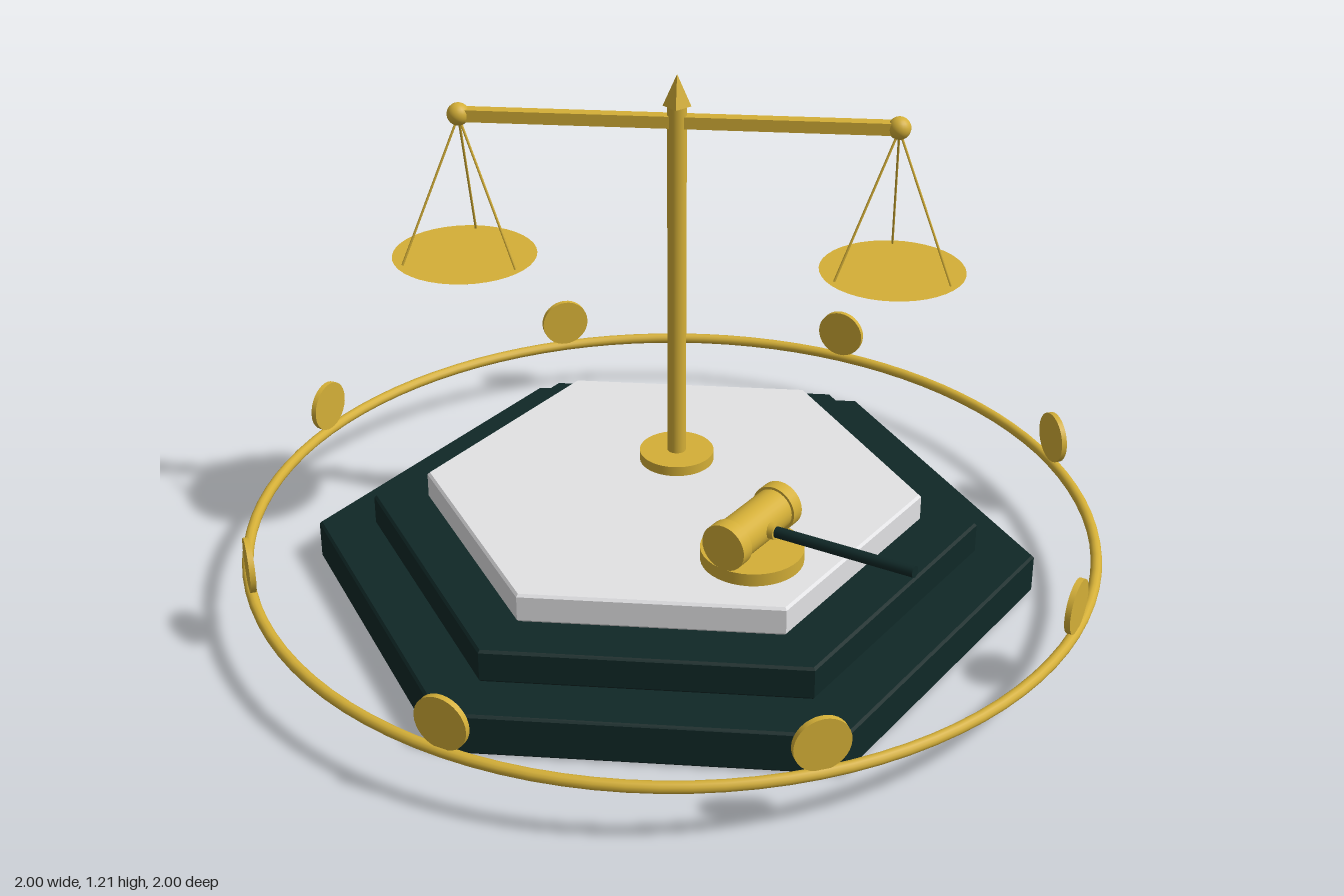
import * as THREE from 'three';

const gold = new THREE.MeshStandardMaterial({ color: 0xd4af37 });
gold.name = 'gold';
const darkGreen = new THREE.MeshStandardMaterial({ color: 0x102827 });
darkGreen.name = 'dark green';
const paleStone = new THREE.MeshStandardMaterial({ color: 0xe2e2e4 });
paleStone.name = 'pale stone';

function add(parent, name, geometry, material, x = 0, y = 0, z = 0) {
  const mesh = new THREE.Mesh(geometry, material);
  mesh.name = name;
  mesh.position.set(x, y, z);
  parent.add(mesh);
  return mesh;
}

// Flat facets for low-sided shapes
function faceted(geometry) {
  const flat = geometry.toNonIndexed();
  flat.computeVertexNormals();
  return flat;
}

// Hexagonal slab with a small chamfer and corners on the x axis
function hexSlab(r, y0, y1, b = 0.006) {
  const profile = [[0, y0], [r - b, y0], [r, y0 + b], [r, y1 - b], [r - b, y1], [0, y1]]
    .map(([x, y]) => new THREE.Vector2(x, y));
  return faceted(new THREE.LatheGeometry(profile, 6, Math.PI / 2));
}

// Thin rod between two points
function rod(parent, name, a, b, radius, material, sides = 8) {
  const mesh = add(parent, name, new THREE.CylinderGeometry(radius, radius, a.distanceTo(b), sides), material);
  mesh.position.copy(a).lerp(b, 0.5);
  mesh.quaternion.setFromUnitVectors(new THREE.Vector3(0, 1, 0), b.clone().sub(a).normalize());
  return mesh;
}

function createBase() {
  const base = new THREE.Group();
  base.name = 'base';
  add(base, 'lowerTier', hexSlab(0.85, 0, 0.1), darkGreen);
  add(base, 'middleTier', hexSlab(0.712, 0.1, 0.18), darkGreen);
  add(base, 'topTier', hexSlab(0.58, 0.18, 0.25), paleStone);
  return base;
}

// Hoop around the base carrying eight upright discs
function createHoop() {
  const hoop = new THREE.Group();
  hoop.name = 'hoop';
  const ring = add(hoop, 'ring', new THREE.TorusGeometry(0.987, 0.013, 12, 96), gold, 0, 0.14, 0);
  ring.rotation.x = Math.PI / 2;
  const discGeometry = new THREE.CylinderGeometry(0.062, 0.062, 0.013, 32).rotateX(Math.PI / 2);
  for (let i = 0; i < 8; i++) {
    const a = (i + 0.5) * Math.PI / 4;
    const disc = add(hoop, 'disc', discGeometry, gold, 0.985 * Math.sin(a), 0.211, 0.985 * Math.cos(a));
    disc.rotation.y = a;
  }
  return hoop;
}

function createPan(side) {
  const pan = new THREE.Group();
  pan.name = side > 0 ? 'leftPan' : 'rightPan';
  pan.position.set(side * 0.49, 0, 0);
  add(pan, 'beamEnd', new THREE.SphereGeometry(0.026, 20, 14), gold, 0, 1.105, 0);
  // Shallow bowl with a flat top
  const bowl = [[0, 0.714], [0.05, 0.716], [0.1, 0.732], [0.167, 0.763]]
    .map(([x, y]) => new THREE.Vector2(x, y));
  add(pan, 'bowl', new THREE.LatheGeometry(bowl, 40), gold);
  add(pan, 'bowlTop', new THREE.CircleGeometry(0.167, 40).rotateX(-Math.PI / 2), gold, 0, 0.763, 0);
  for (let i = 0; i < 3; i++) {
    const a = Math.PI + i * Math.PI * 2 / 3;
    rod(pan, 'cord', new THREE.Vector3(0, 1.1, 0),
      new THREE.Vector3(0.15 * Math.sin(a), 0.763, 0.15 * Math.cos(a)), 0.003, gold, 6);
  }
  return pan;
}

function createScales() {
  const scales = new THREE.Group();
  scales.name = 'scales';
  scales.position.z = -0.122;
  add(scales, 'foot', new THREE.CylinderGeometry(0.088, 0.088, 0.024, 40), gold, 0, 0.262, 0);
  add(scales, 'post', new THREE.CylinderGeometry(0.022, 0.022, 0.89, 24), gold, 0, 0.695, 0);
  add(scales, 'finial', faceted(new THREE.ConeGeometry(0.032, 0.074, 4)), gold, 0, 1.177, 0);
  add(scales, 'beam', new THREE.BoxGeometry(0.98, 0.028, 0.028), gold, 0, 1.105, 0);
  scales.add(createPan(1), createPan(-1));
  return scales;
}

// Gavel: head along local z, handle along local x
function createGavel() {
  const gavel = new THREE.Group();
  gavel.name = 'gavel';
  gavel.position.set(0.205, 0, 0.308);
  add(gavel, 'soundingBlock', new THREE.CylinderGeometry(0.115, 0.115, 0.03, 40), gold, 0, 0.265, 0);
  const hammer = new THREE.Group();
  hammer.name = 'hammer';
  hammer.position.y = 0.334;
  hammer.rotation.y = -Math.PI / 6;
  gavel.add(hammer);
  const along = (r, l) => new THREE.CylinderGeometry(r, r, l, 32).rotateX(Math.PI / 2);
  add(hammer, 'head', along(0.048, 0.22), gold);
  for (const s of [-1, 1]) add(hammer, 'headBand', along(0.054, 0.032), gold, 0, 0, s * 0.1);
  rod(hammer, 'handle', new THREE.Vector3(0, 0, 0), new THREE.Vector3(0.404, 0.028, 0), 0.013, darkGreen, 16);
  rod(hammer, 'ferrule', new THREE.Vector3(0.035, 0.002, 0), new THREE.Vector3(0.062, 0.004, 0), 0.018, gold, 16);
  return gavel;
}

export function createModel() {
  const model = new THREE.Group();
  model.name = 'scalesMonument';
  model.add(createBase(), createHoop(), createScales(), createGavel());
  return model;
}
